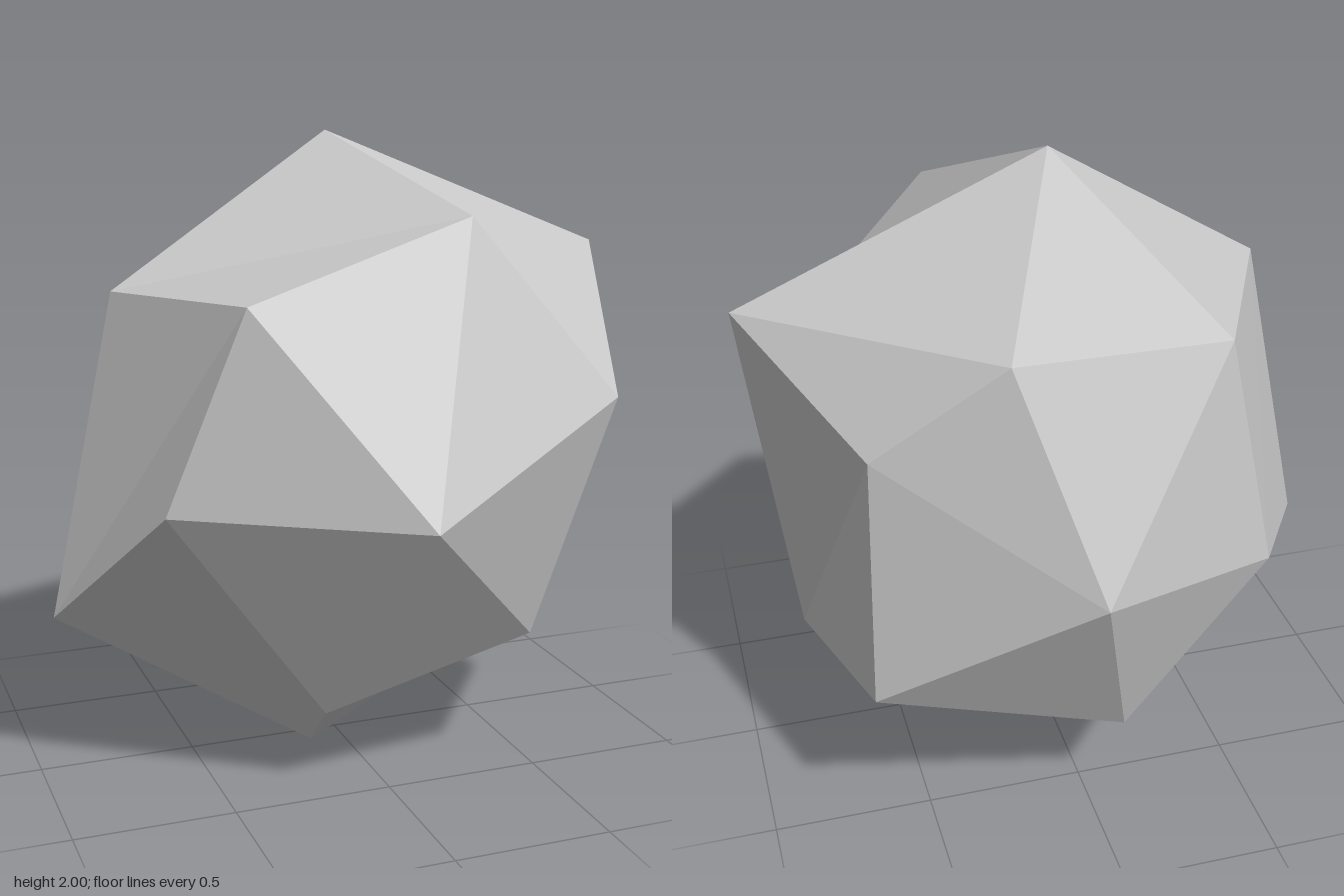
import * as THREE from 'three';

export function createModel() {
  const group = new THREE.Group();
  const stone = new THREE.MeshStandardMaterial({ color: 0xc5c5c5, flatShading: true });
  stone.name = 'light stone grey';

  // Irregular six-sided rings, from the front tip to the back tip
  const frontTip = [-0.04, 0.957, 0.947];
  const backTip = [0.053, 0.98, -0.947];
  const rings = [
    [[0.257, 1.77, 0.48], [-0.47, 1.555, 0.58], [-0.705, 0.957, 0.535],
      [-0.20, 0.265, 0.47], [0.45, 0.472, 0.55], [0.67, 1.23, 0.65]],
    [[-0.03, 2.0, -0.003], [-0.745, 1.545, 0.095], [-0.953, 0.537, 0.08],
      [-0.11, 0, 0.075], [0.805, 0.43, 0], [0.95, 1.61, -0.067]],
    [[0.265, 1.65, -0.695], [-0.46, 1.535, -0.49], [-0.605, 0.775, -0.54],
      [-0.10, 0.32, -0.66], [0.68, 0.57, -0.655], [0.65, 1.345, -0.58]],
  ];

  const positions = [];
  const face = (a, b, c) => positions.push(...a, ...b, ...c);

  for (let i = 0; i < 6; i++) {
    const j = (i + 1) % 6;
    // Fans closing both tips
    face(frontTip, rings[0][i], rings[0][j]);
    face(backTip, rings[2][j], rings[2][i]);
    // Bands between neighbouring rings
    for (let r = 0; r < 2; r++) {
      const u = rings[r], l = rings[r + 1];
      face(u[i], l[i], l[j]);
      face(u[i], l[j], u[j]);
    }
  }

  const geometry = new THREE.BufferGeometry();
  geometry.setAttribute('position', new THREE.Float32BufferAttribute(positions, 3));
  geometry.computeVertexNormals();

  const rock = new THREE.Mesh(geometry, stone);
  rock.name = 'rock';
  group.add(rock);
  return group;
}
